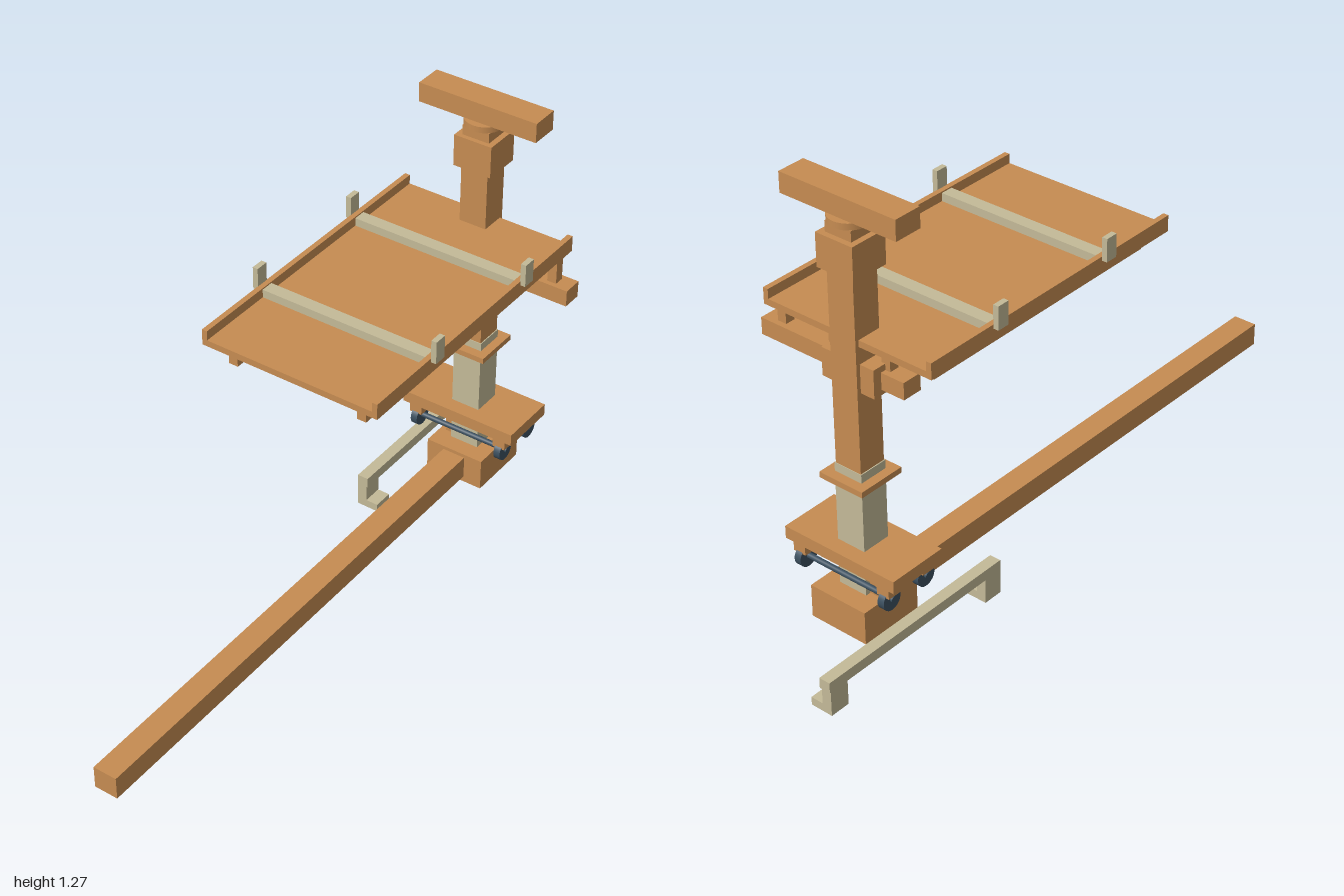
import * as THREE from 'three';

const material = (name, color) => {
  const m = new THREE.MeshStandardMaterial({ color });
  m.name = name;
  return m;
};

export function createModel() {
  const wood = material('wood', 0xc68c52);
  const metal = material('paleMetal', 0xc4ba98);
  const steel = material('darkSteel', 0x3c5060);
  const root = new THREE.Group();
  root.name = 'columnStand';

  // Box given by its limits on each axis
  const box = (name, mat, [x0, x1], [y0, y1], [z0, z1], parent = root) => {
    const mesh = new THREE.Mesh(new THREE.BoxGeometry(x1 - x0, y1 - y0, z1 - z0), mat);
    mesh.position.set((x0 + x1) / 2, (y0 + y1) / 2, (z0 + z1) / 2);
    mesh.name = name;
    parent.add(mesh);
    return mesh;
  };
  const cylinder = (name, mat, r, length, [x, y, z], alongX = false, parent = root) => {
    const mesh = new THREE.Mesh(new THREE.CylinderGeometry(r, r, length, 28), mat);
    if (alongX) mesh.rotation.z = Math.PI / 2;
    mesh.position.set(x, y, z);
    mesh.name = name;
    parent.add(mesh);
    return mesh;
  };
  const group = (name) => {
    const g = new THREE.Group();
    g.name = name;
    root.add(g);
    return g;
  };
  const cx = -0.016, cz = -0.672;

  // Base with its long floor beam
  box('floorBeam', wood, [-0.053, 0.019], [0.055, 0.124], [-0.6, 1]);
  box('baseBlock', wood, [-0.108, 0.077], [0.037, 0.135], [-0.773, -0.577]);
  cylinder('basePlug', wood, 0.029, 0.03, [cx, 0.03, cz]);
  box('sideStop', wood, [-0.09, -0.055], [0.13, 0.215], [-0.7, -0.645]);

  // Telescopic column
  box('lowerColumn', metal, [-0.061, 0.029], [0.13, 0.505], [-0.716, -0.628]);
  box('columnCollar', wood, [-0.088, 0.055], [0.463, 0.48], [-0.744, -0.6]);
  box('upperColumn', wood, [-0.058, 0.026], [0.5, 1.19], [-0.714, -0.63]);
  box('headBlock', wood, [-0.075, 0.043], [1.065, 1.16], [-0.73, -0.616]);
  cylinder('headRing', wood, 0.057, 0.018, [cx, 1.2, cz]);
  cylinder('headPivot', wood, 0.035, 0.03, [cx, 1.205, cz]);
  box('headBar', wood, [-0.2, 0.17], [1.213, 1.271], [-0.714, -0.63]);

  // Wheeled carriage around the lower column
  const carriage = group('carriage');
  box('carriagePlate', wood, [-0.2, 0.17], [0.234, 0.271], [-0.762, -0.582], carriage);
  for (const z of [-0.608, -0.736]) {
    cylinder('axle', steel, 0.008, 0.32, [cx, 0.19, z], true, carriage);
    for (const side of [-1, 1]) {
      const x = cx + side * 0.143;
      box('wheelMount', wood, [x - 0.02, x + 0.02], [0.204, 0.236], [z - 0.022, z + 0.022], carriage);
      cylinder('wheel', steel, 0.031, 0.021, [x, 0.187, z], true, carriage);
    }
  }

  // Clamp, crossbar and supports under the table
  const support = group('tableSupport');
  box('clamp', wood, [-0.102, 0.069], [0.737, 0.819], [-0.702, -0.586], support);
  box('crossbar', wood, [-0.175, 0.3], [0.752, 0.801], [-0.676, -0.616], support);
  for (const x of [-0.104, 0.07, 0.243])
    box('supportPost', wood, [x - 0.014, x + 0.014], [0.798, 0.872], [-0.66, -0.63], support);
  for (const x of [-0.218, 0.186])
    box('supportBeam', wood, [x - 0.014, x + 0.014], [0.812, 0.855], [-0.63, 0.18], support);

  // Table with raised edges
  const table = group('table');
  box('tableBoard', wood, [-0.289, 0.258], [0.869, 0.888], [-0.703, 0.216], table);
  for (const x of [-0.281, 0.25])
    box('tableEdge', wood, [x - 0.008, x + 0.008], [0.886, 0.916], [-0.703, 0.216], table);

  // Cross strips and their upright tabs
  for (const z of [-0.459, -0.04]) {
    box('crossStrip', metal, [-0.275, 0.244], [0.887, 0.912], [z - 0.019, z + 0.019], table);
    box('rightTab', metal, [-0.304, -0.288], [0.904, 0.971], [z - 0.019, z + 0.019], table);
    box('leftTab', metal, [0.257, 0.273], [0.904, 0.971], [z - 0.019, z + 0.019], table);
  }

  // Low side handle with two feet
  const handle = group('sideHandle');
  box('handleBar', metal, [-0.2, -0.166], [0.073, 0.104], [-1, -0.355], handle);
  for (const z of [-0.967, -0.385]) {
    box('handleLeg', metal, [-0.2, -0.17], [0, 0.075], [z - 0.03, z + 0.03], handle);
    box('handleFoot', metal, [-0.172, -0.132], [0, 0.024], [z - 0.03, z + 0.03], handle);
  }
  return root;
}
